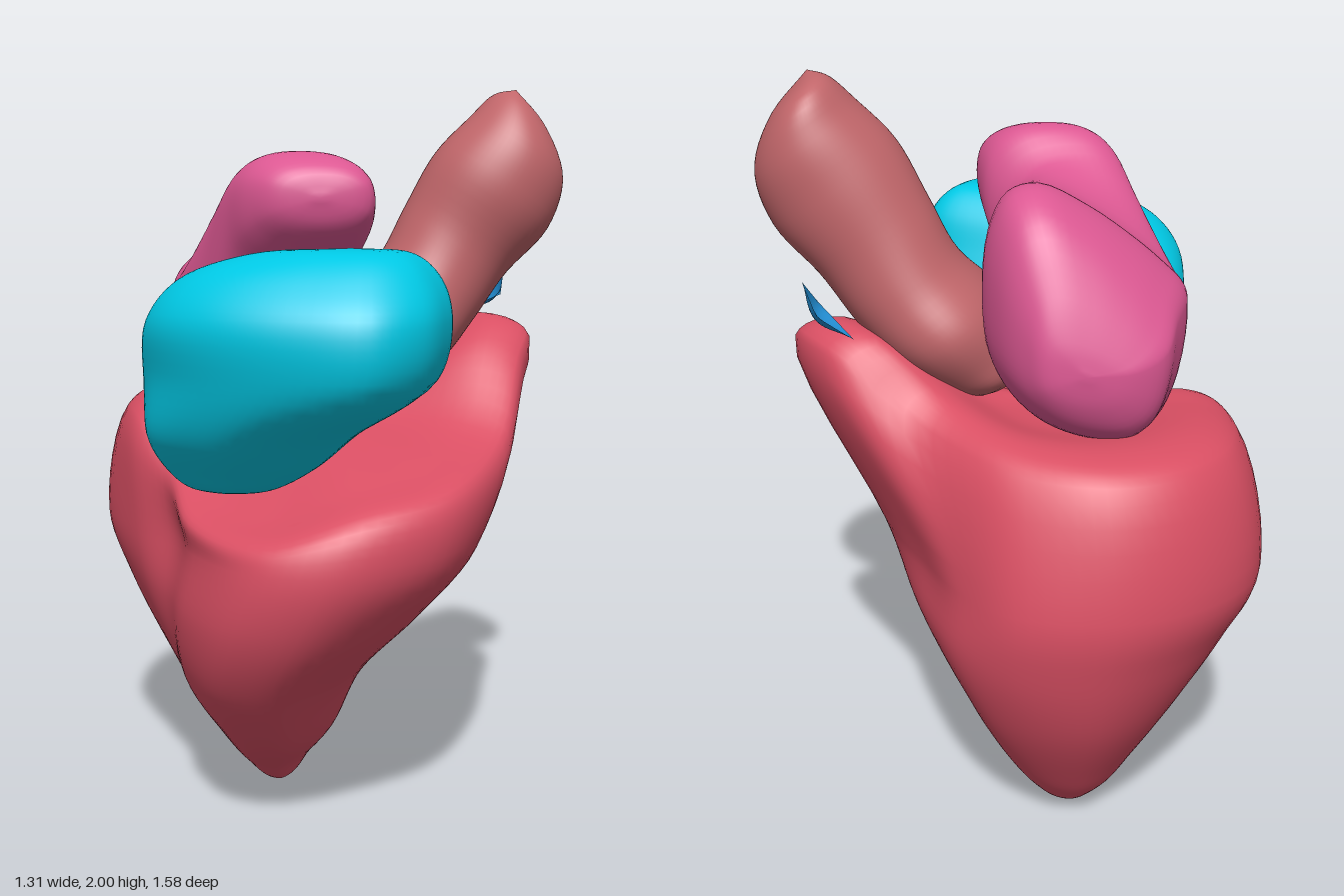
import * as THREE from 'three';
import { mergeVertices } from 'three/addons/utils/BufferGeometryUtils.js';

const V = (x, y, z) => new THREE.Vector3(x, y, z);
const mix = THREE.MathUtils.lerp;

// Smooth closed skin through rings of points; each end closes on a pole
function loft(rings, startPole, endPole, around = 64, along = 48) {
  const dense = rings.map(r => {
    const c = new THREE.CatmullRomCurve3(r, true);
    return Array.from({ length: around }, (_, i) => c.getPoint(i / around));
  });
  const points = [], idx = [], row = along + 1;
  for (let i = 0; i < around; i++) {
    const c = new THREE.CatmullRomCurve3([startPole, ...dense.map(r => r[i]), endPole]);
    for (let j = 0; j <= along; j++) points.push(c.getPoint(j / along));
    for (let j = 0; j < along; j++) {
      const a = i * row + j, b = ((i + 1) % around) * row + j;
      idx.push(a, b, b + 1, a, b + 1, a + 1);
    }
  }
  // Orient faces outward using the signed volume
  let volume = 0;
  for (let i = 0; i < idx.length; i += 3) {
    const [a, b, c] = idx.slice(i, i + 3).map(k => points[k]);
    volume += a.dot(b.clone().cross(c));
  }
  if (volume < 0) idx.reverse();
  const g = new THREE.BufferGeometry().setFromPoints(points);
  g.setIndex(idx);
  const merged = mergeVertices(g, 1e-5);
  merged.computeVertexNormals();
  return merged;
}

// Stretch an outline into the box of each level [h, uMin, uMax, vMin, vMax]
function levelRings(outline, levels, place) {
  const us = outline.map(p => p[0]), vs = outline.map(p => p[1]);
  const u0 = Math.min(...us), u1 = Math.max(...us), v0 = Math.min(...vs), v1 = Math.max(...vs);
  return levels.map(([h, a, b, c, d]) => outline.map(([u, v]) =>
    place(mix(a, b, (u - u0) / (u1 - u0)), h, mix(c, d, (v - v0) / (v1 - v0)))));
}

const circle = Array.from({ length: 16 }, (_, i) =>
  [Math.cos(i * Math.PI / 8), Math.sin(i * Math.PI / 8)]);

function ventricles() {
  // Outlines (x, z) at the widest level and near the apex
  const wide = [[.39, .05], [.35, .34], [.21, .55], [-.05, .65], [-.27, .59], [-.42, .35],
    [-.47, .1], [-.58, -.04], [-.665, -.28], [-.62, -.55], [-.46, -.71], [-.23, -.785],
    [.02, -.74], [.16, -.6], [.25, -.42], [.35, -.2]];
  const low = [[.3, .02], [.22, .3], [.04, .52], [-.2, .65], [-.42, .58], [-.55, .36],
    [-.58, .15], [-.62, -.03], [-.65, -.25], [-.58, -.5], [-.42, -.68], [-.18, -.785],
    [.08, -.76], [.28, -.65], [.37, -.46], [.38, -.25]];
  const middle = wide.map(([x, z], i) => [(x + low[i][0]) / 2, (z + low[i][1]) / 2]);
  // Rim (x, y, z) with its raised spout on the left
  const rim = [[.53, 1.24, .02], [.43, 1.04, .24], [.24, .95, .52], [0, .91, .61],
    [-.25, .84, .57], [-.42, .86, .33], [-.47, .95, .08], [-.56, 1.07, -.05],
    [-.59, 1.09, -.28], [-.54, 1.1, -.5], [-.4, 1.1, -.64], [-.2, 1.1, -.69],
    [.03, 1.11, -.61], [.25, 1.16, -.4], [.47, 1.3, -.3], [.58, 1.31, -.12]].map(p => V(...p));
  const inset = (k, lift, flat) => rim.map(p =>
    V(mix(-.08, p.x, k), mix(p.y + lift, 1.1, flat), mix(-.12, p.z, k)));
  return loft([
    ...levelRings(low, [[.005, -.21, -.09, -.38, -.04], [.08, -.29, -.03, -.48, .07],
      [.2, -.37, .05, -.57, .26], [.4, -.49, .15, -.69, .46]], V),
    ...levelRings(middle, [[.6, -.59, .28, -.76, .6]], V),
    ...levelRings(wide, [[.78, -.65, .38, -.785, .65]], V),
    rim, inset(.8, .05, 0), inset(.4, .05, .6),
  ], V(-.14, .012, -.2), V(-.08, 1.12, -.12), 96, 60);
}

function rightAtrium() {
  // Outlines (x, z): the lower part is squarer at the front right
  const upper = [[-.53, .27], [-.47, .13], [-.3, .09], [.05, .22], [.235, .38], [.2, .56],
    [.13, .7], [0, .78], [-.2, .72], [-.38, .59], [-.5, .42]];
  const lower = upper.map(([x, z], i) => i > 7 ? [x - .04, z + .06] : [x, z]);
  return loft([
    ...levelRings(lower, [[.95, -.41, -.18, .2, .38], [1, -.47, -.08, .14, .45],
      [1.1, -.52, .03, .1, .57]], V),
    ...levelRings(upper, [[1.25, -.53, .21, .14, .77], [1.4, -.52, .235, .23, .79],
      [1.5, -.44, .21, .3, .72], [1.565, -.26, .14, .4, .63]], V),
  ], V(-.28, .935, .28), V(-.02, 1.58, .53));
}

function leftAtrium() {
  // Boxy sections stacked from back to front: z, x range, y range
  const soft = t => Math.sign(t) * Math.abs(t) ** .8;
  const front = circle.map(([c, s]) => [soft(c), soft(s)]);
  // The rear lobe slopes down toward its right and tucks in below on its left
  const rear = front.map(([c, s]) =>
    [c, s - .4 * Math.max(0, s) * (1 - c) + .15 * Math.max(0, -s) * (1 + c)]);
  const place = (x, z, y) => V(x, y, z);
  return loft([
    ...levelRings(rear, [[-.555, -.28, -.06, 1.25, 1.42], [-.51, -.36, -.01, 1.17, 1.54],
      [-.42, -.4, .05, 1.12, 1.69], [-.3, -.44, .085, 1.1, 1.75], [-.15, -.44, .06, 1.13, 1.72]], place),
    ...levelRings(front, [[0, -.36, .02, 1.3, 1.74], [.1, -.31, .07, 1.46, 1.82],
      [.2, -.26, .085, 1.56, 1.81], [.265, -.19, .06, 1.63, 1.77]], place),
  ], V(-.16, 1.34, -.57), V(-.07, 1.7, .285));
}

function aorta() {
  // Centre x, y, z, radius in the front plane, radius in depth
  const path = [[.04, 1.2, -.07, .11, .18], [.1, 1.25, -.08, .15, .215], [.18, 1.34, -.1, .17, .24],
    [.28, 1.45, -.12, .165, .19], [.36, 1.58, -.12, .175, .165], [.46, 1.72, -.1, .195, .175],
    [.53, 1.84, -.1, .16, .16], [.54, 1.94, -.11, .09, .11]];
  return loft(path.map(([x, y, z, r, rz]) => circle.map(([c, s]) =>
    V(x + .83 * r * c, y - .55 * r * c, z + rz * s))), V(-.02, 1.16, -.06), V(.52, 2, -.07));
}

function valveFlap() {
  // Small curved four-cornered leaflet
  const [a, b, c, d] = [V(.54, 1.5, -.27), V(.5, 1.43, -.345), V(.41, 1.36, -.32), V(.51, 1.42, -.18)];
  const g = new THREE.PlaneGeometry(1, 1, 10, 10), p = g.attributes.position;
  for (let i = 0; i < p.count; i++) {
    const u = p.getX(i) + .5, v = p.getY(i) + .5;
    const q = a.clone().lerp(b, u).lerp(d.clone().lerp(c, u), v);
    const bulge = 16 * u * (1 - u) * v * (1 - v);
    p.setXYZ(i, q.x + .02 * bulge, q.y - .025 * bulge, q.z);
  }
  g.computeVertexNormals();
  return g;
}

export function createModel() {
  const heart = new THREE.Group();
  heart.name = 'heart';
  const add = (name, geometry, color, side = THREE.FrontSide) => {
    const mesh = new THREE.Mesh(geometry, new THREE.MeshStandardMaterial({ color, side }));
    mesh.name = name;
    heart.add(mesh);
  };
  add('ventricles', ventricles(), 0xd94f63);
  add('rightAtrium', rightAtrium(), 0x00c8e4);
  add('leftAtrium', leftAtrium(), 0xdc5892);
  add('aorta', aorta(), 0xc1666a);
  add('valveFlap', valveFlap(), 0x2089cc, THREE.DoubleSide);
  return heart;
}
